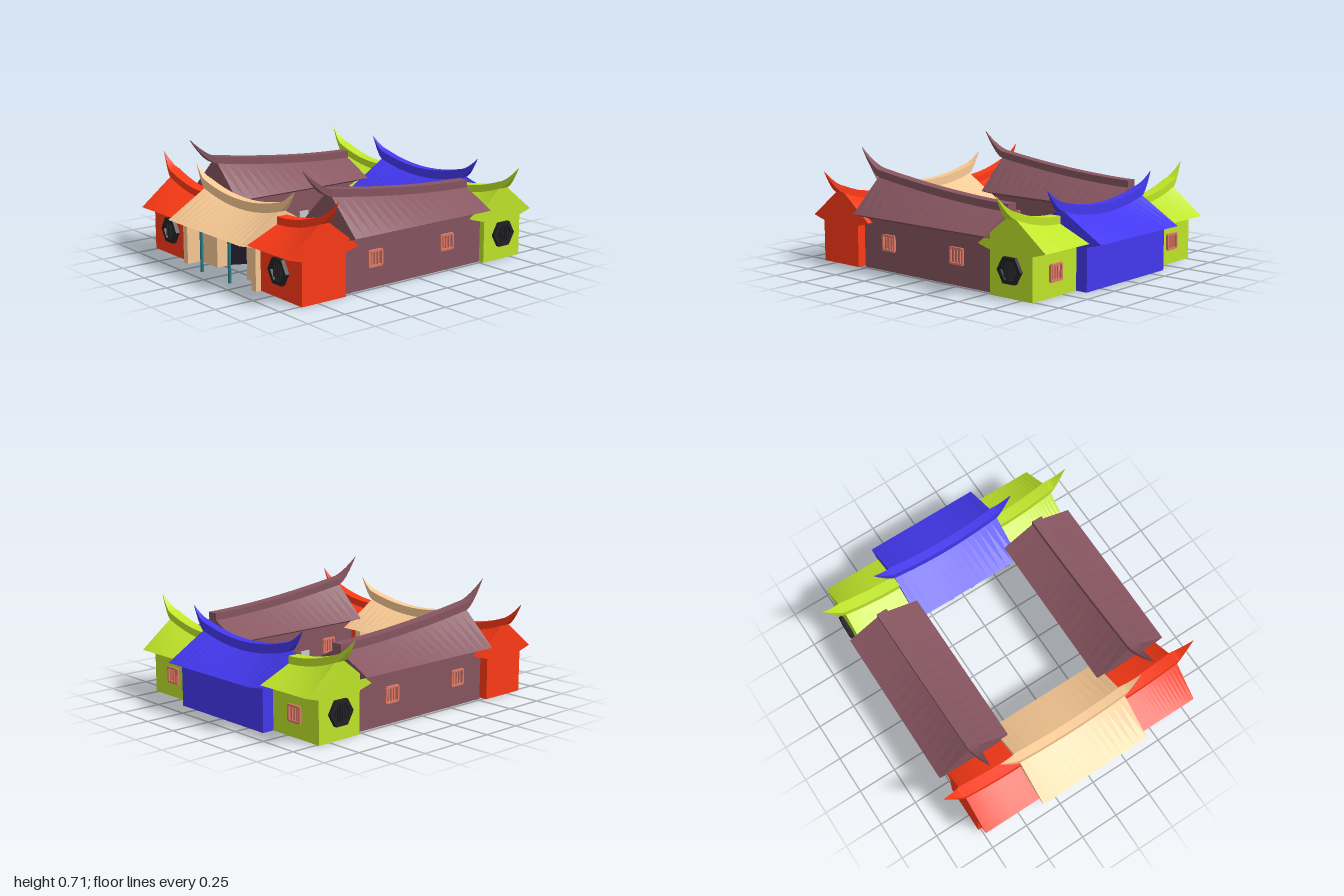
import * as THREE from 'three';

const mat = (color) => new THREE.MeshStandardMaterial({ color, flatShading: true });
const M = {
  red: mat(0xff3a16), beige: mat(0xfbcb95), blue: mat(0x4338f0), green: mat(0xc0e62a),
  mauve: mat(0x875560), salmon: mat(0xe07a68), teal: mat(0x2a7f8a),
  dark: mat(0x222226), door: mat(0x1e1828), grey: mat(0xcccccc),
};

function mesh(parent, name, geo, material, x = 0, y = 0, z = 0) {
  const m = new THREE.Mesh(geo, material);
  m.name = name;
  m.position.set(x, y, z);
  parent.add(m);
  return m;
}

// Box given by its min and max on each axis
function box(parent, name, material, [x0, x1], [y0, y1], [z0, z1]) {
  return mesh(parent, name, new THREE.BoxGeometry(x1 - x0, y1 - y0, z1 - z0), material,
    (x0 + x1) / 2, (y0 + y1) / 2, (z0 + z1) / 2);
}

function group(parent, name, x = 0, y = 0, z = 0, turn = 0) {
  const g = new THREE.Group();
  g.name = name;
  g.position.set(x, y, z);
  g.rotation.y = turn;
  parent.add(g);
  return g;
}

// Join counter-clockwise convex sections { z, pts } along +z, with end caps
function loft(sections) {
  const out = [];
  const n = sections[0].pts.length;
  const put = (s, i) => out.push(s.pts[i % n][0], s.pts[i % n][1], s.z);
  for (let j = 0; j < sections.length - 1; j++) {
    const a = sections[j], b = sections[j + 1];
    for (let i = 0; i < n; i++) {
      put(a, i); put(a, i + 1); put(b, i + 1);
      put(a, i); put(b, i + 1); put(b, i);
    }
  }
  const first = sections[0], last = sections[sections.length - 1];
  for (let i = 1; i < n - 1; i++) {
    put(first, 0); put(first, i + 1); put(first, i);
    put(last, 0); put(last, i); put(last, i + 1);
  }
  const geo = new THREE.BufferGeometry();
  geo.setAttribute('position', new THREE.Float32BufferAttribute(out, 3));
  geo.computeVertexNormals();
  return geo;
}

// Roof running along local z, with a curved ridge beam and upswept horns
function roof(parent, material, o) {
  const { from, to, low, high, beam, beamHalf, eave, eaveY, wall, wallY, tip, tipY, both } = o;
  const rise = (z) => {
    const t = both ? Math.abs(z) / to : (z - from) / (to - from);
    return low + (high - low) * Math.pow(t, o.power ?? 2);
  };
  const steps = 16, body = [], ridge = [];
  const rect = (z, w, y0, y1) => ({ z, pts: [[-w, y0], [w, y0], [w, y1], [-w, y1]] });
  for (let i = 0; i <= steps; i++) {
    const z = from + (to - from) * i / steps, y = rise(z);
    body.push({ z, pts: [[-wall, wallY], [wall, wallY], [eave, eaveY], [beamHalf, y], [-beamHalf, y], [-eave, eaveY]] });
    ridge.push(rect(z, beamHalf, y, y + beam));
  }
  const horn = (u, sign) => {
    const k = Math.pow(u, 1.5), top = high + beam;
    return rect(sign * (to + (tip - to) * u), beamHalf * (1 - u) + 0.0005,
      high + (tipY - 0.003 - high) * k, top + (tipY - top) * k);
  };
  for (let i = 1; i <= 8; i++) {
    ridge.push(horn(i / 8, 1));
    if (both) ridge.unshift(horn(i / 8, -1));
  }
  mesh(parent, 'roof', loft(body), material);
  mesh(parent, 'ridgeWithHorns', loft(ridge), material);
}

// Barred rectangular window facing local +z
function barWindow(parent, x, y, z, turn) {
  const g = group(parent, 'barredWindow', x, y, z, turn);
  const w = 0.047, h = 0.045;
  for (const s of [-1, 1]) {
    box(g, 'frameSide', M.salmon, [s * w - 0.006, s * w + 0.006], [-h, h], [-0.01, 0.014]);
    box(g, 'frameRail', M.salmon, [-w, w], [s * h - 0.006, s * h + 0.006], [-0.01, 0.014]);
  }
  for (const i of [-1, 0, 1]) box(g, 'bar', M.salmon, [i * 0.023 - 0.006, i * 0.023 + 0.006], [-h, h], [-0.01, 0.008]);
}

// Hexagonal barred window facing local +z
function hexWindow(parent, x, y, z, turn) {
  const g = group(parent, 'hexWindow', x, y, z, turn);
  const hex = (r) => Array.from({ length: 6 }, (_, i) =>
    new THREE.Vector2(r * Math.cos(i * Math.PI / 3), r * Math.sin(i * Math.PI / 3)));
  const ring = new THREE.Shape(hex(0.086));
  ring.holes.push(new THREE.Path(hex(0.06).reverse()));
  mesh(g, 'frame', new THREE.ExtrudeGeometry(ring, { depth: 0.03, bevelEnabled: false }), M.dark, 0, 0, -0.005);
  mesh(g, 'backing', new THREE.ExtrudeGeometry(new THREE.Shape(hex(0.062)), { depth: 0.008, bevelEnabled: false }), M.dark);
  for (let i = -2; i <= 2; i++) {
    const bx = i * 0.018, h = Math.min(0.052, (0.06 - Math.abs(bx)) * 1.73);
    box(g, 'bar', M.dark, [bx - 0.004, bx + 0.004], [-h, h], [0, 0.018]);
  }
}

// Corner house: outer end has the horn
function cornerHouse(parent, name, material, side, z) {
  const g = group(parent, name, 0, 0, z);
  box(g, 'walls', material, side > 0 ? [0.38, 0.765] : [-0.765, -0.38], [0, 0.258], [-0.153, 0.153]);
  roof(group(g, 'cornerRoof', 0, 0, 0, side * Math.PI / 2), material, {
    from: 0.38, to: 0.765, low: 0.37, high: 0.445, beam: 0.045, beamHalf: 0.036,
    eave: 0.245, eaveY: 0.281, wall: 0.153, wallY: 0.255, tip: 0.89, tipY: 0.59 });
  return g;
}

// Roof of a central hall, horned at both ends
function hallRoof(parent, material) {
  roof(group(parent, 'hallRoof', 0, 0, 0, Math.PI / 2), material, {
    from: -0.38, to: 0.38, low: 0.385, high: 0.44, beam: 0.055, beamHalf: 0.027,
    eave: 0.287, eaveY: 0.283, wall: 0.185, wallY: 0.257, tip: 0.503, tipY: 0.577, both: true });
}

export function createModel() {
  const model = new THREE.Group();
  model.name = 'courtyardHouse';

  // Front gate hall
  const gate = group(model, 'gateHall', 0, 0, 0.71);
  hallRoof(gate, M.beige);
  for (const s of [-1, 1]) {
    const span = (a, b) => (s > 0 ? [a, b] : [-b, -a]);
    box(gate, 'gateSideWall', M.beige, span(0.335, 0.38), [0, 0.258], [-0.18, 0.185]);
    box(gate, 'gateCrossWall', M.beige, span(0.155, 0.335), [0, 0.258], [-0.07, 0.09]);
    mesh(gate, 'gateColumn', new THREE.CylinderGeometry(0.01, 0.01, 0.268, 12), M.teal, s * 0.146, 0.134, 0.205);
    const leaf = group(gate, 'gateDoor', s * 0.15, 0, 0, s * 0.47);
    box(leaf, 'doorLeaf', M.door, [-0.008, 0.008], [0.005, 0.257], [-0.14, 0]);
  }

  // Rear main hall
  const hall = group(model, 'mainHall', 0, 0, -0.713);
  hallRoof(hall, M.blue);
  box(hall, 'hallWalls', M.blue, [-0.38, 0.38], [0, 0.258], [-0.19, 0.14]);
  box(hall, 'hallDoor', M.grey, [-0.065, 0.065], [0, 0.18], [0.13, 0.146]);
  for (const s of [-1, 1]) {
    for (const [x, w] of [[0.08, 0.015], [0.357, 0.023]])
      box(hall, 'hallPilaster', M.blue, [s * x - w, s * x + w], [0, 0.258], [0.13, 0.188]);
    barWindow(hall, s * 0.215, 0.15, 0.14, 0);
  }

  for (const s of [-1, 1]) {
    // Front and rear corner houses
    const front = cornerHouse(model, 'frontCornerHouse', M.red, s, 0.707);
    hexWindow(front, s * 0.565, 0.16, 0.153, 0);
    const rear = cornerHouse(model, 'rearCornerHouse', M.green, s, -0.675);
    hexWindow(rear, s * 0.762, 0.16, 0, s * Math.PI / 2);
    barWindow(rear, s * 0.57, 0.14, -0.153, Math.PI);

    // Long side wing with a horn at the front only
    const wing = group(model, 'sideWing', s * 0.575, 0, 0);
    box(wing, 'wingWalls', M.mauve, [-0.155, 0.155], [0, 0.308], [-0.52, 0.53]);
    roof(wing, M.mauve, {
      from: -0.52, to: 0.53, low: 0.445, high: 0.54, beam: 0.045, beamHalf: 0.035,
      eave: 0.246, eaveY: 0.338, wall: 0.155, wallY: 0.305, tip: 0.712, tipY: 0.71, power: 1.7 });
    for (const z of [0.315, -0.24])
      for (const e of [-1, 1]) barWindow(wing, e * 0.155, 0.175, z, e * Math.PI / 2);
    for (const z of [0.11, -0.05])
      box(wing, 'wingDoor', M.grey, [-s * 0.155 - 0.006, -s * 0.155 + 0.006], [0, 0.17], [z - 0.035, z + 0.035]);
  }
  return model;
}
